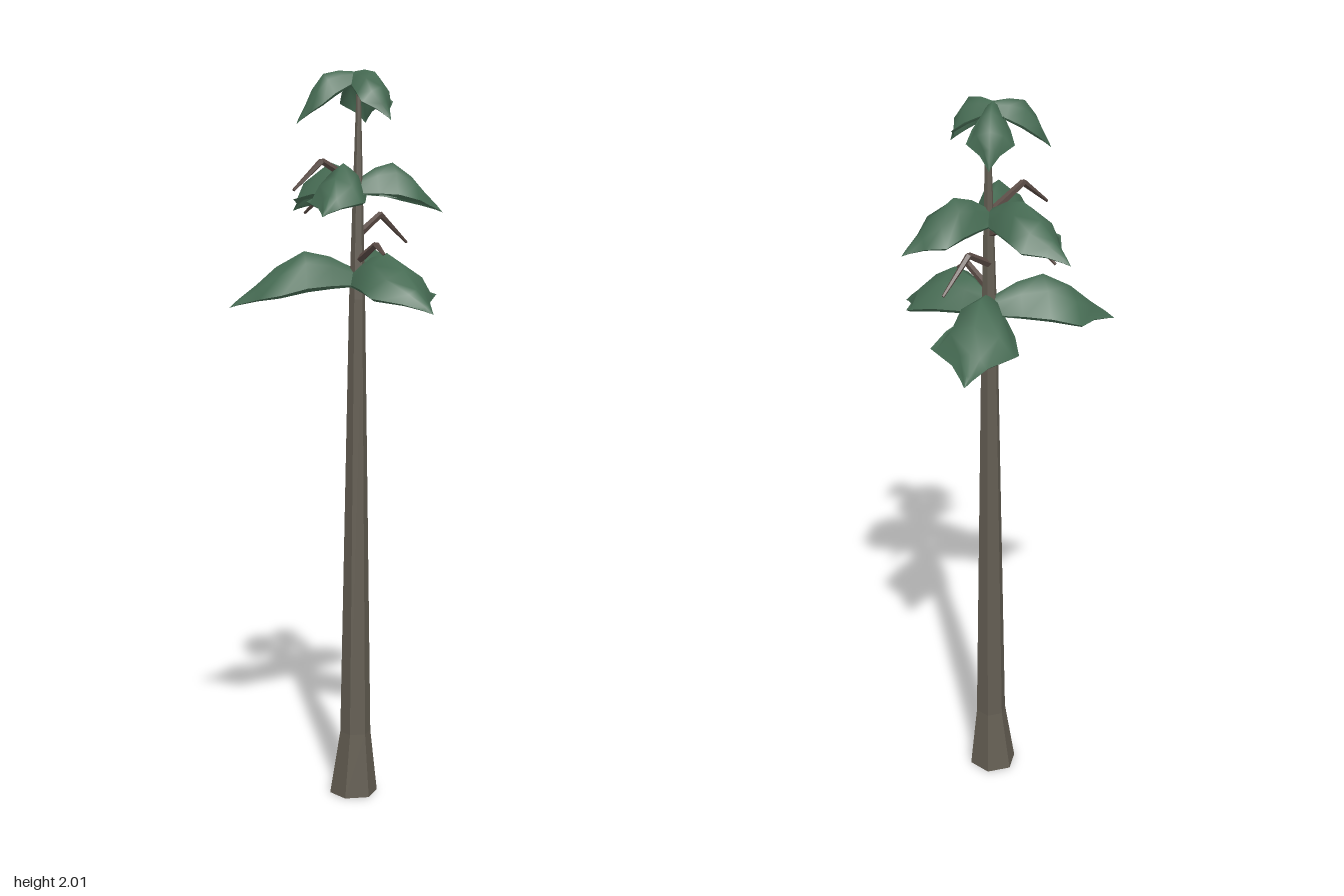
import * as THREE from 'three';

const bark = new THREE.MeshStandardMaterial({ color: 0x635d52, flatShading: true, side: THREE.DoubleSide });
bark.name = 'bark';
const twig = new THREE.MeshStandardMaterial({ color: 0x5a4b45, flatShading: true });
twig.name = 'twig';
const foliage = new THREE.MeshStandardMaterial({ color: 0x466b53, side: THREE.DoubleSide });
foliage.name = 'foliage';

// Leaf rows from root to tip: distance out, half width, spine height, edge height
const LEAF_LENGTH = 0.317;
const LEAF = [
  [0, 0.03, 0.1, 0.055],
  [0.065, 0.06, 0.135, 0.052],
  [0.13, 0.09, 0.15, 0.046],
  [0.2, 0.114, 0.108, 0.032],
  [0.25, 0.047, 0.06, 0.02],
  [0.295, 0.015, 0.022, 0.008],
  [LEAF_LENGTH, 0.001, 0, 0],
];
// Across the leaf: side position, share of the spine height (the rim turns up slightly)
const ACROSS = [[-1, 0.1], [-0.89, 0], [-0.55, 0.72], [0, 1], [0.55, 0.72], [0.89, 0], [1, 0.1]];

// Domed, pointed leaf surface running along +x
function leafGeometry() {
  const pos = [], index = [], n = ACROSS.length;
  for (const [u, w, spine, edge] of LEAF)
    for (const [t, f] of ACROSS) pos.push(u, edge + (spine - edge) * f, w * t);
  for (let i = 0; i < LEAF.length - 1; i++)
    for (let j = 0; j < n - 1; j++) {
      const a = i * n + j, b = a + n;
      index.push(a, a + 1, b, b, a + 1, b + 1);
    }
  const g = new THREE.BufferGeometry();
  g.setAttribute('position', new THREE.Float32BufferAttribute(pos, 3));
  g.setIndex(index);
  g.computeVertexNormals();
  return g;
}

// Hexagonal trunk, open at the ends: rows of height, centre x, radius
function trunkGeometry() {
  const rows = [[0, -0.042, 0.067], [0.18, -0.034, 0.043], [1.4, -0.025, 0.022], [1.96, -0.018, 0.006]];
  const g = new THREE.CylinderGeometry(1, 1, 3, 6, 3, true, Math.PI / 2);
  const p = g.attributes.position;
  for (let i = 0; i < p.count; i++) {
    const [y, cx, r] = rows[Math.round(p.getY(i) + 1.5)];
    p.setXYZ(i, cx + p.getX(i) * r, y, p.getZ(i) * r);
  }
  g.computeVertexNormals();
  return g;
}

// Tapered stick between two points
function stick(a, b, r0, r1) {
  const from = new THREE.Vector3(...a), to = new THREE.Vector3(...b);
  const dir = to.clone().sub(from);
  const m = new THREE.Mesh(new THREE.CylinderGeometry(r1, r0, dir.length(), 5), twig);
  m.position.copy(from).add(to).multiplyScalar(0.5);
  m.quaternion.setFromUnitVectors(new THREE.Vector3(0, 1, 0), dir.normalize());
  m.name = 'branchSegment';
  return m;
}

export function createModel() {
  const model = new THREE.Group();
  model.name = 'tree';

  const trunk = new THREE.Mesh(trunkGeometry(), bark);
  trunk.name = 'trunk';
  model.add(trunk);

  // Bent bare branches: root, elbow, tip
  const branches = [
    [[-0.025, 1.5, 0], [0.06, 1.55, 0.005], [0.1, 1.525, 0.01]],
    [[-0.025, 1.57, 0], [-0.04, 1.625, -0.095], [-0.045, 1.545, -0.195]],
    [[-0.025, 1.71, 0], [-0.045, 1.77, 0.105], [-0.045, 1.695, 0.2]],
    [[-0.025, 1.655, 0], [-0.12, 1.705, 0.005], [-0.24, 1.625, 0.01]],
  ];
  for (const [root, elbow, tip] of branches) {
    const branch = new THREE.Group();
    branch.name = 'branch';
    branch.add(stick(root, elbow, 0.011, 0.009), stick(elbow, tip, 0.009, 0.004));
    model.add(branch);
  }

  // Leaf tiers: centre x, base height, height scale, width scale, downward tilt,
  // overlap of the roots past the centre, leaf tips [x, z]
  const tiers = [
    ['lowerLeaves', -0.03, 1.38, 1, 1, 0, 0, [[0.287, 0.003], [-0.212, -0.295], [-0.21, 0.293]]],
    ['middleLeaves', -0.025, 1.63, 0.9, 0.73, 0, 0, [[-0.286, 0.015], [0.072, -0.223], [0.095, 0.215]]],
    ['topLeaves', -0.035, 1.95, 0.6, 0.53, 0.42, 0.028, [[0.1, -0.012], [-0.127, -0.115], [-0.105, 0.143]]],
  ];
  const leafGeo = leafGeometry();
  for (const [name, cx, y, tall, wide, tilt, overlap, tips] of tiers) {
    const tier = new THREE.Group();
    tier.name = name;
    tier.position.set(cx, y, 0);
    for (const [x, z] of tips) {
      const leaf = new THREE.Mesh(leafGeo, foliage);
      const angle = Math.atan2(z, x - cx);
      leaf.name = 'leaf';
      leaf.scale.set((Math.hypot(x - cx, z) + overlap) / LEAF_LENGTH / Math.cos(tilt), tall, wide);
      leaf.position.set(-overlap * Math.cos(angle), 0, -overlap * Math.sin(angle));
      leaf.rotation.set(0, -angle, -tilt);
      tier.add(leaf);
    }
    model.add(tier);
  }
  return model;
}
